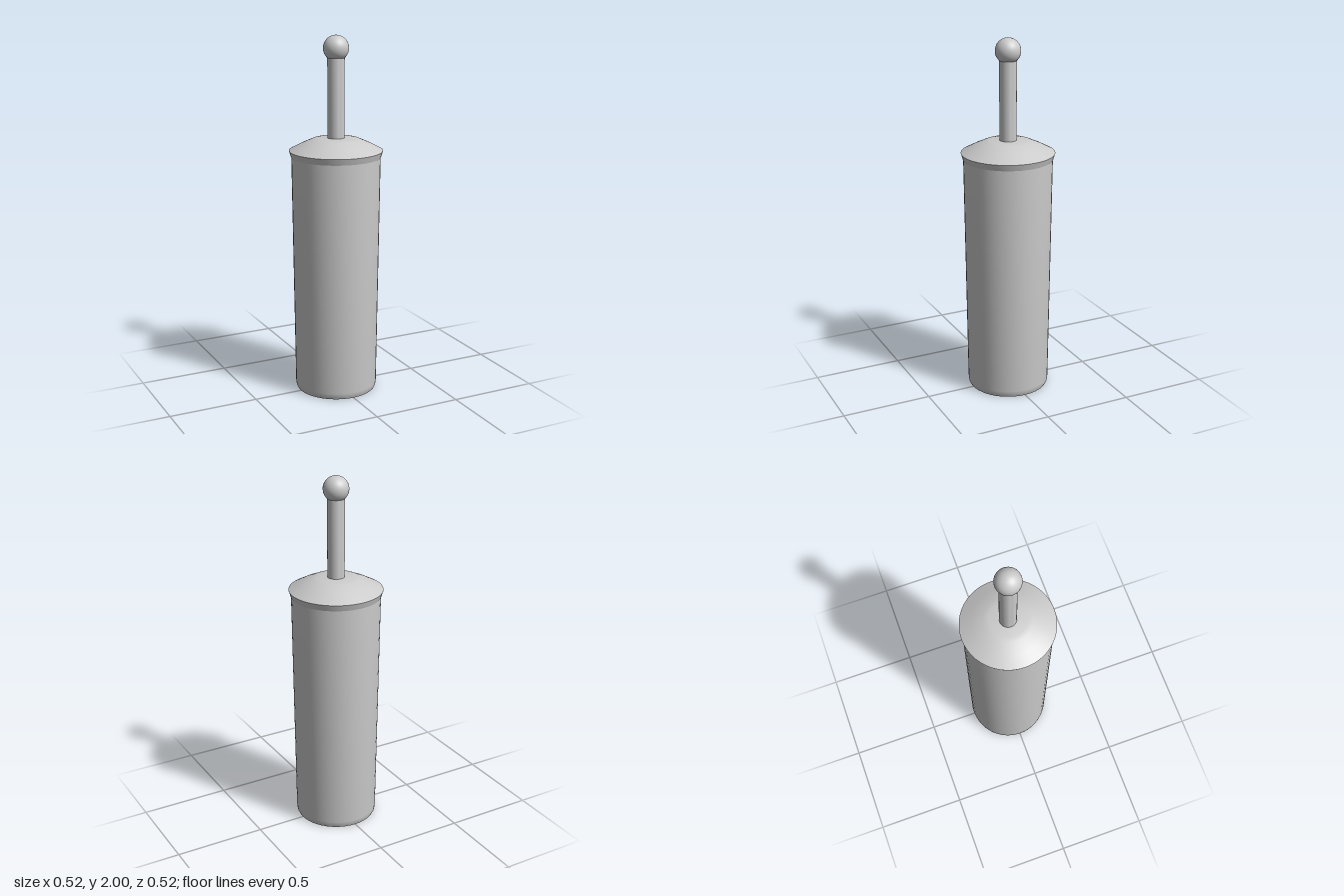
import * as THREE from 'three';
import { toCreasedNormals } from 'three/addons/utils/BufferGeometryUtils.js';

export function createModel() {
  const group = new THREE.Group();
  const material = new THREE.MeshStandardMaterial({ color: 0xcccccc });

  const add = (name, geometry) => {
    const mesh = new THREE.Mesh(geometry, material);
    mesh.name = name;
    group.add(mesh);
    return mesh;
  };
  // Profile of [radius, height] pairs, from the bottom up
  const turned = (name, profile, segments) => add(name, toCreasedNormals(
    new THREE.LatheGeometry(profile.map(([r, y]) => new THREE.Vector2(r, y)), segments), 0.5));

  // Slightly tapered holder with a softened foot
  turned('holder', [[0, 0], [0.222, 0], [0.227, 0.01], [0.23, 0.035], [0.245, 1.345], [0, 1.345]], 48);

  // Lid with a flared rim, sloping up to a small flat top
  turned('lid', [[0, 1.34], [0.247, 1.34], [0.258, 1.375], [0.195, 1.408], [0.13, 1.437], [0.1, 1.443], [0, 1.446]], 48);

  // Handle rod and ball knob
  turned('handle', [[0, 1.43], [0.047, 1.43], [0.047, 1.9], [0, 1.9]], 32);
  add('knob', new THREE.SphereGeometry(0.07, 32, 20)).position.y = 1.93;

  return group;
}
